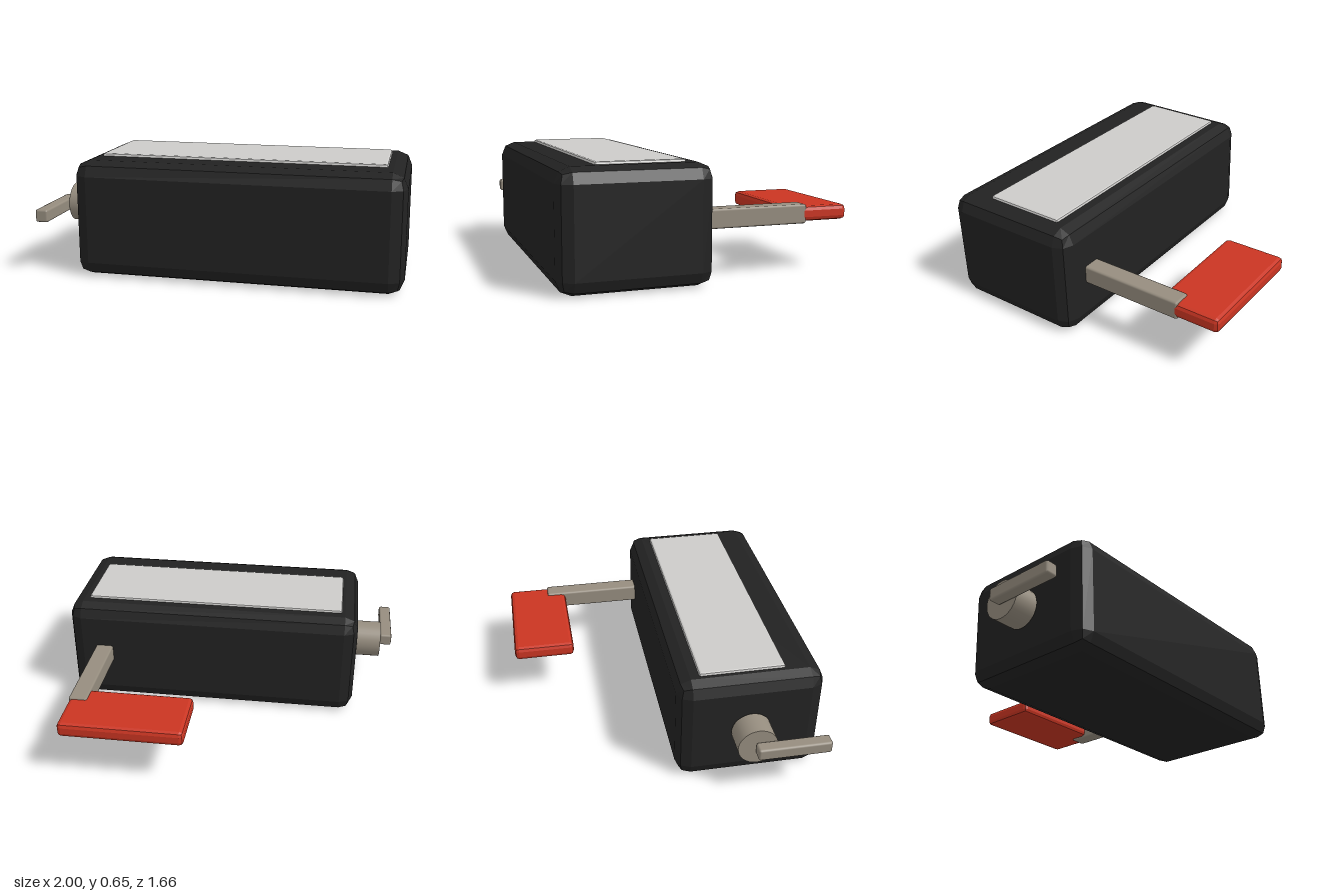
import * as THREE from 'three';
import { RoundedBoxGeometry } from 'three/addons/geometries/RoundedBoxGeometry.js';

function material(name, color, flatShading = false) {
  const m = new THREE.MeshStandardMaterial({ color, flatShading });
  m.name = name;
  return m;
}

export function createModel() {
  const group = new THREE.Group();
  group.name = 'crankBox';

  const black = material('black', 0x222222, true);
  const lightGrey = material('lightGrey', 0xcccbc9, true);
  const metal = material('warmGrey', 0x968d7f);
  const red = material('red', 0xca3522, true);

  // Bevelled box given by its extents on each axis
  function bevelBox(name, mat, [x0, x1], [y0, y1], [z0, z1], bevel) {
    const geo = new RoundedBoxGeometry(x1 - x0, y1 - y0, z1 - z0, 1, bevel);
    const mesh = new THREE.Mesh(geo, mat);
    mesh.position.set((x0 + x1) / 2, (y0 + y1) / 2, (z0 + z1) / 2);
    mesh.name = name;
    group.add(mesh);
  }

  // Housing with the plate set into its top
  bevelBox('body', black, [-0.77, 1], [0, 0.635], [0.01, 0.828], 0.08);
  bevelBox('topPlate', lightGrey, [-0.67, 0.89], [0.6, 0.65], [0.14, 0.618], 0.012);

  // Arm out of the back, carrying the flat paddle
  bevelBox('arm', metal, [0.73, 0.836], [0.268, 0.374], [-0.582, 0.05], 0.012);
  bevelBox('paddle', red, [0.135, 0.836], [0.279, 0.363], [-0.828, -0.465], 0.024);

  // Crank hub on the right side and its lever
  const hub = new THREE.Mesh(new THREE.CylinderGeometry(0.11, 0.11, 0.145, 32), metal);
  hub.rotation.z = Math.PI / 2;
  hub.position.set(-0.853, 0.32, 0.415);
  hub.name = 'crankHub';
  group.add(hub);
  bevelBox('crankLever', metal, [-1, -0.928], [0.285, 0.356], [0.4, 0.806], 0.012);

  return group;
}
